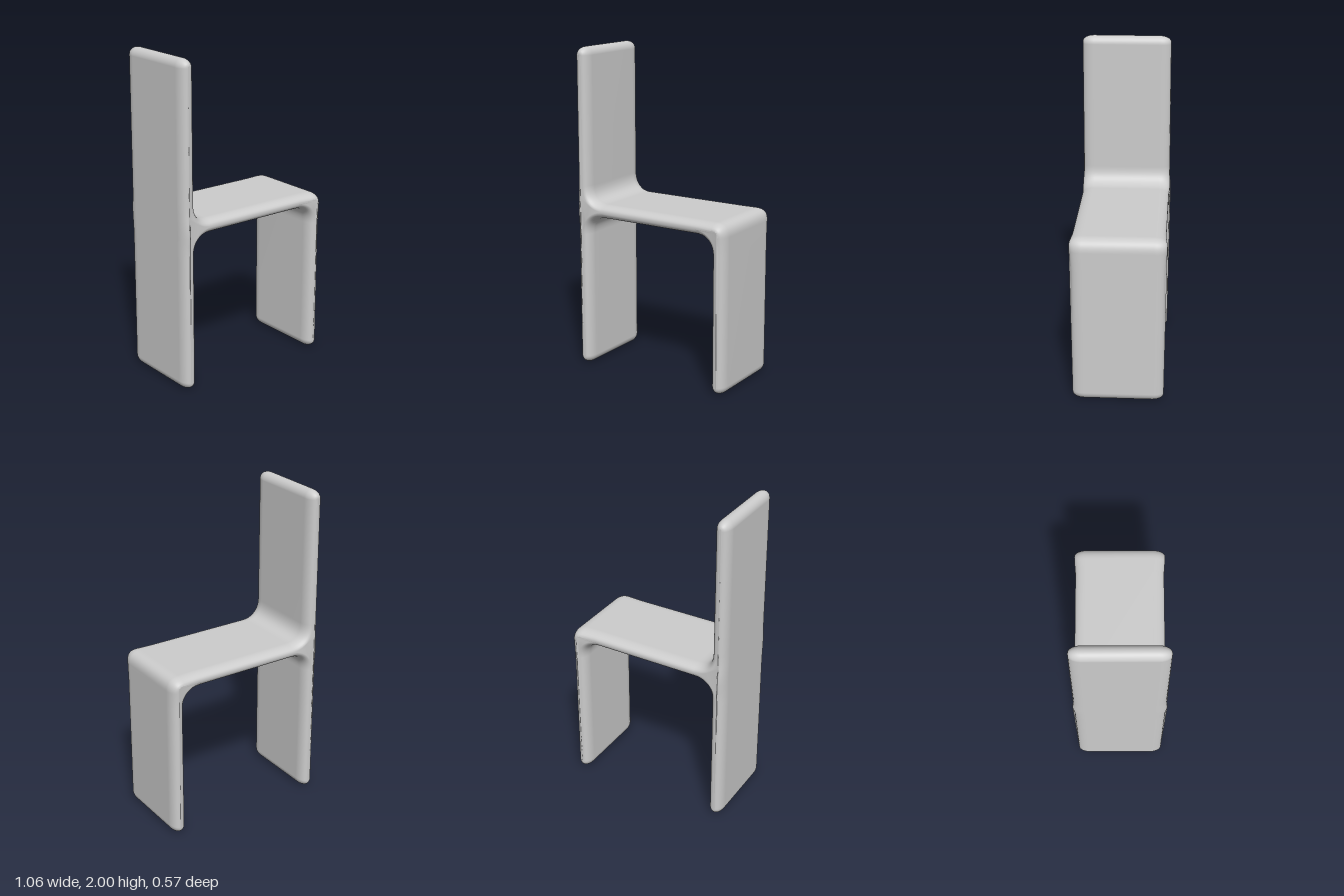
import * as THREE from 'three';
import { mergeVertices } from 'three/addons/utils/BufferGeometryUtils.js';

const X = 0.53, IN = 0.44;            // outer and inner faces of the upright slabs
const TOP = 1.045, UNDER = 0.96;      // seat faces
const WIDTH = 0.55, BEVEL = 0.038, BEVEL_DEPTH = 0.07;

// Side outline of the whole chair, drawn counter-clockwise
function chairOutline() {
  const s = new THREE.Shape();
  const mid = (X + IN) / 2, r = (X - IN) / 2, tip = 0.05;
  s.moveTo(-X, tip);
  s.absellipse(-mid, tip, r, tip, Math.PI, 2 * Math.PI, false);   // back foot
  s.lineTo(-IN, 0.85);
  s.quadraticCurveTo(-IN, UNDER, -0.33, UNDER);                   // fillets under the seat
  s.lineTo(0.33, UNDER);
  s.quadraticCurveTo(IN, UNDER, IN, 0.85);
  s.lineTo(IN, tip);
  s.absellipse(mid, tip, r, tip, Math.PI, 2 * Math.PI, false);    // front foot
  s.lineTo(X, 0.85);
  s.lineTo(X, 0.965);
  s.quadraticCurveTo(X, TOP, 0.45, TOP);                          // seat front edge
  s.lineTo(0.36, TOP);
  s.lineTo(-0.33, TOP);
  s.quadraticCurveTo(-IN, TOP, -IN, 1.155);                       // seat to backrest
  s.lineTo(-IN, 2 - tip);
  s.absellipse(-mid, 2 - tip, r, tip, 0, Math.PI, false);         // backrest top
  for (let y = 1.16; y > 0.83; y -= 0.04) s.lineTo(-X, y);        // back face near the joint
  return s;
}

export function createModel() {
  const model = new THREE.Group();
  model.name = 'chair';
  const grey = new THREE.MeshStandardMaterial({ color: 0xcccccc });
  grey.name = 'light grey';

  let geo = new THREE.ExtrudeGeometry(chairOutline(), {
    depth: WIDTH - 2 * BEVEL_DEPTH, curveSegments: 12,
    bevelEnabled: true, bevelSegments: 7,
    bevelThickness: BEVEL_DEPTH, bevelSize: BEVEL, bevelOffset: -BEVEL,
  });
  geo.translate(0, 0, -(WIDTH / 2 - BEVEL_DEPTH));

  // The sides swell slightly where the slabs meet
  const p = geo.attributes.position;
  for (let i = 0; i < p.count; i++) {
    const dx = Math.abs(p.getX(i)) - 0.48, dy = p.getY(i) - 1;
    p.setZ(i, p.getZ(i) * (1 + 0.035 * Math.exp(-(dx * dx + dy * dy) / 0.006)));
  }

  // Weld for smooth shading
  geo.deleteAttribute('uv');
  geo.deleteAttribute('normal');
  geo.clearGroups();
  geo = mergeVertices(geo, 1e-4);
  geo.computeVertexNormals();

  const body = new THREE.Mesh(geo, grey);
  body.name = 'chairBody';
  model.add(body);
  return model;
}
